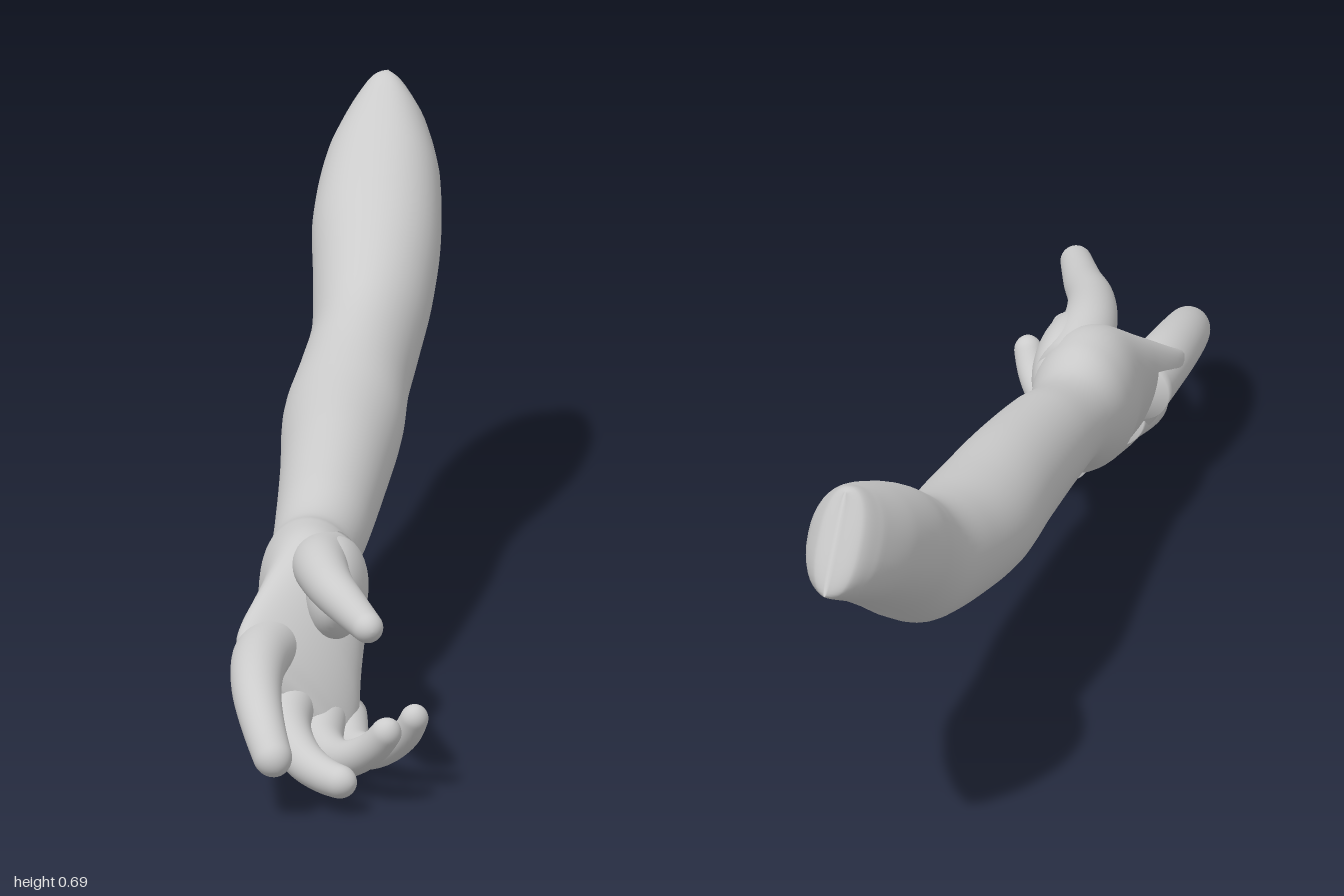
import * as THREE from 'three';

const V = (x, y, z) => new THREE.Vector3(x, y, z);
const SIDES = 40;

// Closed smooth skin over a list of rings (each an array of SIDES points)
function skin(rings) {
  const pos = [], idx = [], n = rings.length;
  rings.forEach(r => r.forEach(p => pos.push(p.x, p.y, p.z)));
  for (let i = 0; i < n - 1; i++) {
    for (let j = 0; j < SIDES; j++) {
      const k = (j + 1) % SIDES;
      const a = i * SIDES + j, b = i * SIDES + k, c = a + SIDES, d = b + SIDES;
      idx.push(a, b, c, b, d, c);
    }
  }
  // end caps
  [0, n - 1].forEach(e => {
    const c = V(0, 0, 0);
    rings[e].forEach(p => c.addScaledVector(p, 1 / SIDES));
    const ci = pos.length / 3;
    pos.push(c.x, c.y, c.z);
    for (let j = 0; j < SIDES; j++) {
      const a = e * SIDES + j, b = e * SIDES + (j + 1) % SIDES;
      if (e === 0) idx.push(ci, b, a); else idx.push(ci, a, b);
    }
  });
  const g = new THREE.BufferGeometry();
  g.setAttribute('position', new THREE.Float32BufferAttribute(pos, 3));
  g.setIndex(idx);
  g.computeVertexNormals();
  return g;
}

const ring = (c, u, v, p = 1) => Array.from({ length: SIDES }, (_, j) => {
  const a = j / SIDES * Math.PI * 2, f = q => Math.sign(q) * Math.abs(q) ** p;
  return c.clone().addScaledVector(u, f(Math.cos(a))).addScaledVector(v, f(Math.sin(a)));
});

// Sections given by top point, bottom point and half width
function limb(sections, steps) {
  const tops = new THREE.CatmullRomCurve3(sections.map(s => V(...s[0])));
  const bottoms = new THREE.CatmullRomCurve3(sections.map(s => V(...s[1])));
  const widths = new THREE.CatmullRomCurve3(sections.map((s, i) => V(s[2], i * 0.1, 0)));
  const rings = [];
  for (let i = 0; i <= steps; i++) {
    const t = i / steps, T = tops.getPoint(t), B = bottoms.getPoint(t);
    const v = T.clone().sub(B).multiplyScalar(0.5);
    const u = V(v.y, -v.x, 0).normalize().multiplyScalar(widths.getPoint(t).x);
    rings.push(ring(T.add(B).multiplyScalar(0.5), u, v, Math.min(1, 0.8 + t * 0.6)));
  }
  return skin(rings);
}

// Tapered finger with a rounded tip along a curved path
function finger(path, r0, r1, steps = 44) {
  const curve = new THREE.CatmullRomCurve3(path.map(p => V(...p)));
  const tip = 1 - r1 * 1.1 / curve.getLength();
  const rings = [];
  for (let i = 0; i <= steps; i++) {
    const t = 1 - (1 - i / steps) ** 2;
    const dir = curve.getTangentAt(t);
    const u = V(0, 1, 0).cross(dir).normalize(), v = dir.clone().cross(u);
    const k = Math.max(0, (t - tip) / (1 - tip));
    const r = Math.max(0.001, THREE.MathUtils.lerp(r0, r1, t) * Math.sqrt(Math.max(0, 1 - k * k)));
    rings.push(ring(curve.getPointAt(t), u.multiplyScalar(r), v.multiplyScalar(r)));
  }
  return skin(rings);
}

export function createModel() {
  const group = new THREE.Group();
  group.name = 'arm';
  const material = new THREE.MeshStandardMaterial({ color: 0xcccccc });
  const add = (name, geometry) => {
    const mesh = new THREE.Mesh(geometry, material);
    mesh.name = name;
    group.add(mesh);
    return mesh;
  };

  // Upper arm, forearm, wrist and palm: top, bottom, half width
  add('armAndPalm', limb([
    [[-0.198, 0.69, -0.92], [-0.198, 0.545, -1.0], 0.003],
    [[-0.198, 0.692, -0.90], [-0.198, 0.536, -0.985], 0.036],
    [[-0.192, 0.677, -0.86], [-0.192, 0.518, -0.95], 0.062],
    [[-0.18, 0.64, -0.77], [-0.18, 0.473, -0.86], 0.09],
    [[-0.161, 0.585, -0.65], [-0.161, 0.40, -0.73], 0.102],
    [[-0.142, 0.53, -0.55], [-0.142, 0.335, -0.62], 0.096],
    [[-0.128, 0.472, -0.45], [-0.128, 0.275, -0.50], 0.086],
    [[-0.118, 0.44, -0.35], [-0.118, 0.245, -0.37], 0.088],
    [[-0.098, 0.412, -0.2], [-0.098, 0.22, -0.2], 0.096],
    [[-0.065, 0.385, 0], [-0.065, 0.2, 0], 0.086],
    [[-0.035, 0.348, 0.2], [-0.035, 0.185, 0.2], 0.076],
    [[-0.021, 0.32, 0.33], [-0.021, 0.175, 0.31], 0.069],
    [[-0.003, 0.334, 0.42], [0, 0.13, 0.41], 0.082],
    [[0, 0.33, 0.5], [0.04, 0.082, 0.5], 0.084],
    [[-0.032, 0.275, 0.59], [0.095, 0.03, 0.58], 0.06],
    [[-0.052, 0.22, 0.68], [0.108, 0.012, 0.63], 0.045],
    [[-0.035, 0.2, 0.73], [0.108, 0.025, 0.66], 0.026],
    [[-0.015, 0.18, 0.745], [0.095, 0.045, 0.675], 0.004],
  ], 150));

  // Fleshy base of the thumb
  const thenar = add('thumbBase', new THREE.SphereGeometry(1, 40, 28));
  thenar.scale.set(0.05, 0.078, 0.125);
  thenar.position.set(0.06, 0.25, 0.51);
  thenar.rotation.y = 0.15;

  // Digits: path from inside the palm to the tip, base and tip radius
  const digits = {
    thumb: [[[0.025, 0.27, 0.43], [0.045, 0.295, 0.55], [0.085, 0.292, 0.65],
      [0.135, 0.281, 0.73], [0.195, 0.273, 0.83]], 0.052, 0.023],
    indexFinger: [[[-0.018, 0.18, 0.6], [-0.012, 0.185, 0.72], [0.012, 0.167, 0.84],
      [0.05, 0.128, 0.94], [0.083, 0.083, 0.995]], 0.05, 0.029],
    middleFinger: [[[0.02, 0.125, 0.6], [0.036, 0.09, 0.74], [0.085, 0.066, 0.84],
      [0.14, 0.057, 0.905], [0.188, 0.055, 0.94]], 0.045, 0.025],
    ringFinger: [[[0.058, 0.085, 0.58], [0.085, 0.055, 0.71], [0.14, 0.057, 0.8],
      [0.2, 0.093, 0.85], [0.24, 0.142, 0.878]], 0.041, 0.023],
    littleFinger: [[[0.085, 0.06, 0.56], [0.12, 0.035, 0.65], [0.18, 0.053, 0.715],
      [0.23, 0.092, 0.755], [0.258, 0.142, 0.785]], 0.036, 0.021],
  };
  for (const [name, args] of Object.entries(digits)) add(name, finger(...args));

  return group;
}
